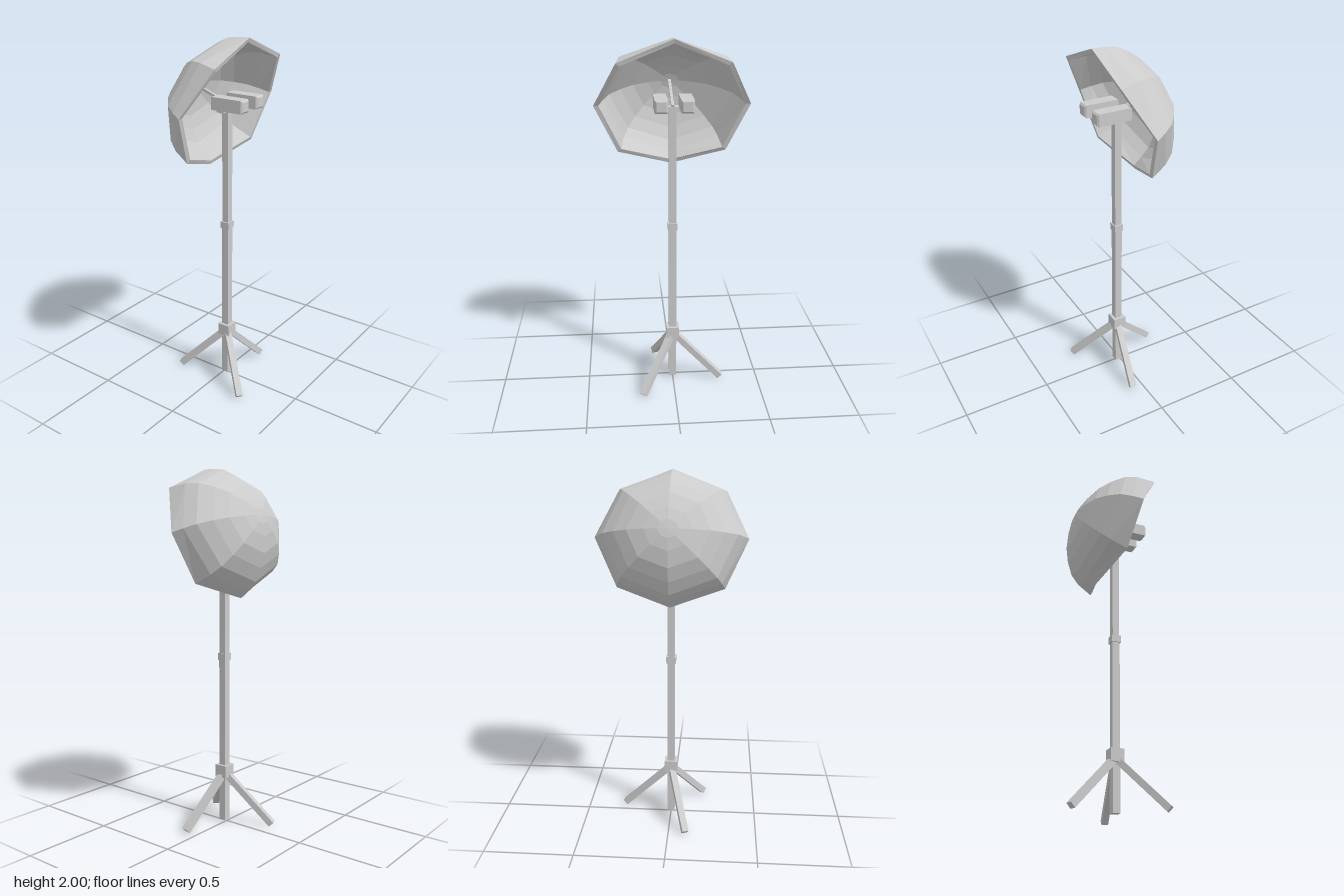
import * as THREE from 'three';

const POLE_X = 0.016;
const mat = new THREE.MeshStandardMaterial({ color: 0xcccccc, flatShading: true });

function add(parent, name, geometry, x = 0, y = 0, z = 0) {
  const mesh = new THREE.Mesh(geometry, mat);
  mesh.name = name;
  mesh.position.set(x, y, z);
  parent.add(mesh);
  return mesh;
}

// Square bar between two points
function bar(parent, name, from, to, size) {
  const geometry = new THREE.BoxGeometry(size, size, from.distanceTo(to));
  const mesh = add(parent, name, geometry);
  mesh.position.lerpVectors(from, to, 0.5);
  mesh.lookAt(to);
  return mesh;
}

// Eight-sided shell opening along +x; alternate rim corners reach further forward
function shellGeometry() {
  const sides = 8;
  // depth behind the rim, radius as a fraction of the rim
  const outer = [[0.277, 0], [0.274, 0.13], [0.259, 0.3], [0.227, 0.52],
    [0.18, 0.7], [0.123, 0.855], [0.06, 0.94], [0, 1]];
  const inner = outer.map(([d, r]) => [d * 0.93, r * 0.935]).reverse();
  const profile = [...outer, ...inner];
  const positions = [], index = [];
  profile.forEach(([d, r], i) => {
    for (let j = 0; j < sides; j++) {
      const t = (j / sides) * Math.PI * 2;
      const peak = d === 0 && j % 2 ? 0.04 : 0;
      positions.push(peak - d, 0.372 * r * Math.cos(t), 0.415 * r * Math.sin(t));
      if (i === profile.length - 1) continue;
      const a = i * sides + j, b = i * sides + (j + 1) % sides;
      if (r > 0) index.push(a, b, a + sides);
      if (profile[i + 1][1] > 0) index.push(b, b + sides, a + sides);
    }
  });
  const geometry = new THREE.BufferGeometry();
  geometry.setAttribute('position', new THREE.Float32BufferAttribute(positions, 3));
  geometry.setIndex(index);
  geometry.computeVertexNormals();
  return geometry;
}

// Square lamp body with chamfered ends, lying along x
function lampGeometry(length, half, bevel) {
  const h = half - bevel;
  const square = new THREE.Shape([
    new THREE.Vector2(-h, -h), new THREE.Vector2(h, -h),
    new THREE.Vector2(h, h), new THREE.Vector2(-h, h),
  ]);
  const geometry = new THREE.ExtrudeGeometry(square, {
    depth: length - 2 * bevel, bevelThickness: bevel, bevelSize: bevel, bevelSegments: 1,
  });
  return geometry.center().rotateY(Math.PI / 2);
}

export function createModel() {
  const model = new THREE.Group();
  model.name = 'umbrellaLight';

  // Stand
  const stand = new THREE.Group();
  stand.name = 'stand';
  model.add(stand);
  add(stand, 'lowerPole', new THREE.BoxGeometry(0.042, 0.96, 0.042), POLE_X, 0.49, 0);
  add(stand, 'upperPole', new THREE.BoxGeometry(0.039, 0.65, 0.039), POLE_X, 1.295, 0);
  add(stand, 'poleClamp', new THREE.BoxGeometry(0.053, 0.04, 0.053), POLE_X, 0.968, 0);
  add(stand, 'legHub', new THREE.BoxGeometry(0.074, 0.07, 0.074), POLE_X, 0.305, 0);

  // Three splayed legs
  for (let i = 0; i < 3; i++) {
    const angle = 0.7 + (i * Math.PI * 2) / 3;
    const at = (r, y) => new THREE.Vector3(POLE_X + r * Math.cos(angle), y, r * Math.sin(angle));
    bar(stand, 'leg', at(0.012, 0.285), at(0.285, 0.0145), 0.036);
  }

  // Lamp head
  const head = new THREE.Group();
  head.name = 'lampHead';
  model.add(head);
  add(head, 'lampBracket', new THREE.BoxGeometry(0.045, 0.026, 0.13), POLE_X, 1.628, 0);
  for (const side of [-1, 1]) {
    add(head, 'lamp', lampGeometry(0.2, 0.034, 0.009), 0.078, 1.668, side * 0.068);
  }

  // Umbrella tilted downward, with its shaft
  const umbrella = new THREE.Group();
  umbrella.name = 'umbrella';
  umbrella.position.set(0.025, 1.65, 0);
  umbrella.rotation.z = -0.344;
  model.add(umbrella);
  add(umbrella, 'umbrellaShell', shellGeometry());
  add(umbrella, 'umbrellaShaft', new THREE.BoxGeometry(0.28, 0.015, 0.015), -0.125, 0, 0);

  return model;
}
